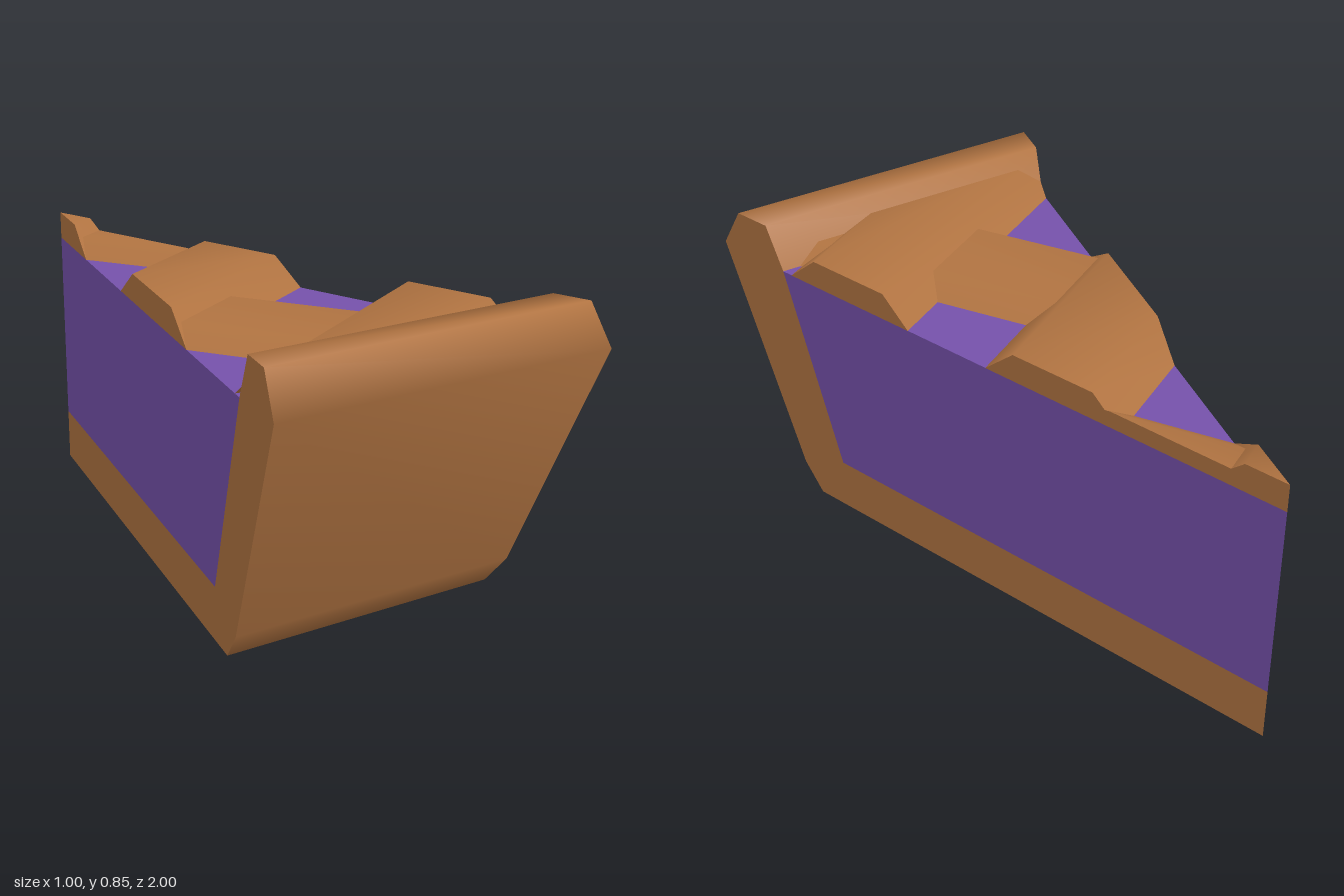
import * as THREE from 'three';

const TAN = 1.73;              // slope of the right-hand cut plane seen from above
const APEX = { x: -0.5, z: -1 };

// Sweeps a counter-clockwise profile of [u, y] points from start(u) to end(u), each giving [x, z].
// The first `skip` edges are buried inside the slice and left open; both ends are capped.
function sweep(profile, skip, start, end) {
  const n = profile.length;
  const ends = [start, end].map(f => profile.map(([u, y]) => {
    const [x, z] = f(u);
    return [x, y, z];
  }));
  const rings = [...ends[0], ...ends[1]];
  const positions = [...rings, ...rings].flat();   // second copy keeps the cap edges sharp
  const index = [];
  for (let a = skip; a < n; a++) {
    const b = (a + 1) % n;
    index.push(b, a, a + n, b, a + n, b + n);
  }
  const outline = profile.map(([u, y]) => new THREE.Vector2(u, y));
  for (const [a, b, c] of THREE.ShapeUtils.triangulateShape(outline, [])) {
    index.push(2 * n + a, 2 * n + b, 2 * n + c);
    index.push(3 * n + a, 3 * n + c, 3 * n + b);
  }
  const geometry = new THREE.BufferGeometry();
  geometry.setAttribute('position', new THREE.Float32BufferAttribute(positions, 3));
  geometry.setIndex(index);
  geometry.computeVertexNormals();
  return geometry;
}

// Points at distance r from the tip along the two cut planes
const leftCut = r => [APEX.x, APEX.z + r];
const rightCut = r => [APEX.x + r * 0.5, APEX.z + r * 0.866];

// Strips running along x + z = s, from the left cut (or the rim) to the right cut
const acrossStart = s => {
  const x = Math.max(-0.5, (s - 0.736) / 0.732);
  return [x, s - x];
};
const acrossEnd = s => {
  const x = (s + 0.135) / (1 + TAN);
  return [x, s - x];
};

// Strips running along z - x = d, from the left cut to the right cut or the rim
const alongStart = d => [-0.5, d - 0.5];
const alongEnd = d => {
  const x = Math.max(-0.5, Math.min((d + 0.135) / (TAN - 1), (0.736 - d) / 1.268));
  return [x, x + d];
};

// Bevelled strip section; one starting at the tip has no bevel on that side
const stripProfile = (a, b, top, bevel, atTip) => [
  [a, 0.72], [b, 0.72], [b - bevel, top], [atTip ? a : a + bevel, top],
];

export function createModel() {
  const group = new THREE.Group();
  const pastry = new THREE.MeshStandardMaterial({ color: 0xb07341 });
  pastry.name = 'pastry brown';
  const berry = new THREE.MeshStandardMaterial({ color: 0x7551aa });
  berry.name = 'berry purple';

  const add = (name, geometry, material) => {
    const mesh = new THREE.Mesh(geometry, material);
    mesh.name = name;
    group.add(mesh);
  };

  // Base and raised rim
  const crust = [
    [1.755, 0.72], [1.536, 0.15], [0, 0.15], [0, 0], [1.63, 0],
    [1.70, 0.08], [2, 0.73], [1.935, 0.845], [1.82, 0.845],
  ];
  add('crust', sweep(crust, 3, leftCut, rightCut), pastry);

  // Filling
  const filling = [[0, 0.15], [1.536, 0.15], [1.755, 0.72], [0, 0.72]];
  add('filling', sweep(filling, 2, leftCut, rightCut), berry);

  // Upper lattice strips
  [[-1.5, -1.19, true], [-0.8, -0.17], [0.22, 0.85]].forEach(([a, b, tip], i) =>
    add(`upperLatticeStrip${i + 1}`,
      sweep(stripProfile(a, b, 0.80, 0.13, tip), 1, acrossStart, acrossEnd), pastry));

  // Lower lattice strips
  [[-0.5, -0.19, true], [0.21, 0.83]].forEach(([a, b, tip], i) =>
    add(`lowerLatticeStrip${i + 1}`,
      sweep(stripProfile(a, b, 0.768, 0.11, tip), 1, alongStart, alongEnd), pastry));

  return group;
}
